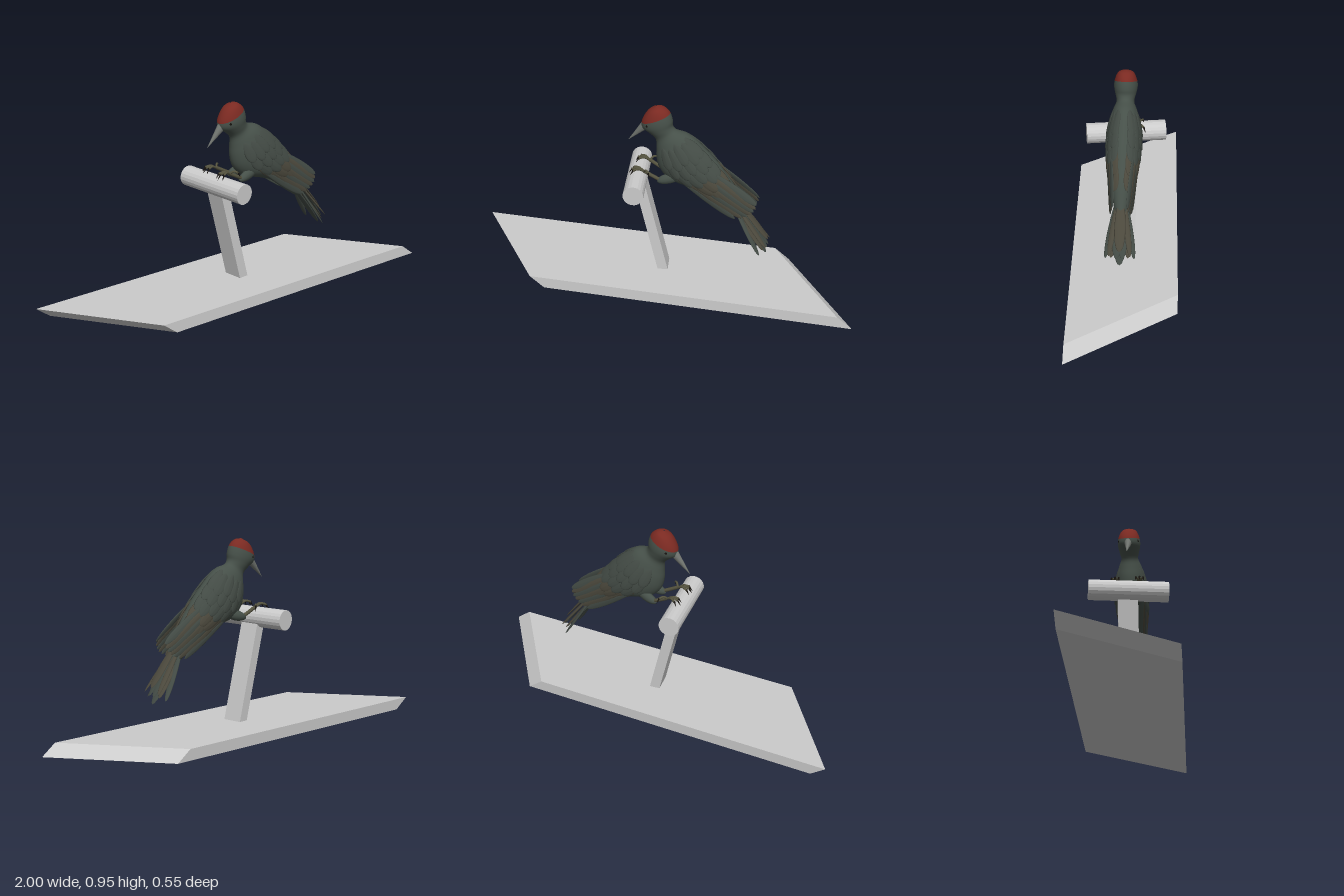
import * as THREE from 'three';

const V = (x, y, z = 0) => new THREE.Vector3(x, y, z);
const mat = (color, extra = {}) => new THREE.MeshStandardMaterial({ color, ...extra });
const GREY = mat(0xcccccc, { flatShading: true });
const DARK = mat(0x465049), WING = mat(0x434b45), BROWN = mat(0x4c493d);
const RED = mat(0x7b2a22), HORN = mat(0x70746f), LEG = mat(0x55533f), EYE = mat(0x16120e);

function add(parent, name, geometry, material) {
  const mesh = new THREE.Mesh(geometry, material);
  mesh.name = name;
  parent.add(mesh);
  return mesh;
}

// Four-cornered block; corners run anticlockwise seen from above
function prism(bottom, top) {
  const pos = [...bottom, ...top].flat(), index = [4, 5, 6, 4, 6, 7, 0, 2, 1, 0, 3, 2];
  for (let i = 0; i < 4; i++) {
    const j = (i + 1) % 4;
    index.push(i, j, j + 4, i, j + 4, i + 4);
  }
  const g = new THREE.BufferGeometry();
  g.setAttribute('position', new THREE.Float32BufferAttribute(pos, 3));
  g.setIndex(index);
  const flat = g.toNonIndexed();
  flat.computeVertexNormals();
  return flat;
}

// Body cross-sections from crown to rump: back x, y, breast x, y, half width
const SECTIONS = [
  [-0.025, 0.955, -0.03, 0.953, 0.003],
  [0.008, 0.951, -0.068, 0.927, 0.036],
  [0.037, 0.928, -0.098, 0.868, 0.053],
  [0.052, 0.885, -0.095, 0.838, 0.056],
  [0.053, 0.857, -0.06, 0.812, 0.049],
  [0.068, 0.838, -0.03, 0.782, 0.042],
  [0.12, 0.825, -0.026, 0.738, 0.056],
  [0.165, 0.795, -0.026, 0.69, 0.069],
  [0.22, 0.742, -0.012, 0.63, 0.078],
  [0.27, 0.69, 0.035, 0.578, 0.08],
  [0.315, 0.632, 0.13, 0.548, 0.073],
  [0.36, 0.568, 0.215, 0.515, 0.06],
  [0.4, 0.49, 0.3, 0.45, 0.042],
  [0.43, 0.42, 0.385, 0.395, 0.02],
  [0.42, 0.4, 0.41, 0.395, 0.002],
];
const LAST = SECTIONS.length - 1;
const backCurve = new THREE.CatmullRomCurve3(SECTIONS.map((s) => V(s[0], s[1], s[4])));
const frontCurve = new THREE.CatmullRomCurve3(SECTIONS.map((s) => V(s[2], s[3], s[4])));

// Point and outward normal on the body at section t, angle a (0 = back, PI = breast)
function onBody(t, a) {
  const b = backCurve.getPoint(t / LAST), f = frontCurve.getPoint(t / LAST);
  const w = Math.max(b.z, 0.001);
  b.z = f.z = 0;
  const mid = b.clone().add(f).multiplyScalar(0.5), half = b.sub(f).multiplyScalar(0.5);
  const point = mid.addScaledVector(half, Math.cos(a));
  point.z = w * Math.sin(a);
  const normal = half.clone().multiplyScalar(Math.cos(a) / half.lengthSq());
  normal.z = Math.sin(a) / w;
  return { point, normal: normal.normalize() };
}

function bodyLoft(t0, t1, rings, sides = 28) {
  const pos = [], index = [];
  for (let i = 0; i <= rings; i++) {
    for (let j = 0; j < sides; j++) {
      const t = t0 + ((t1 - t0) * i) / rings;
      pos.push(...onBody(t, (j / sides) * Math.PI * 2).point.toArray());
      if (i === rings) continue;
      const k = (j + 1) % sides, p = i * sides, q = p + sides;
      index.push(p + j, p + k, q + j, p + k, q + k, q + j);
    }
  }
  const g = new THREE.BufferGeometry();
  g.setAttribute('position', new THREE.Float32BufferAttribute(pos, 3));
  g.setIndex(index);
  g.computeVertexNormals();
  return g;
}

// Thin leaf lying along x, wider towards its free end
const leaf = new THREE.SphereGeometry(1, 12, 10).rotateZ(-Math.PI / 2);
for (let i = 0, p = leaf.attributes.position; i < p.count; i++) {
  p.setZ(i, p.getZ(i) * (0.95 + 0.25 * p.getX(i)));
}
leaf.computeVertexNormals();

function feather(parent, name, a, b, normal, halfWidth, thick, material) {
  const dir = b.clone().sub(a), len = dir.length();
  dir.normalize();
  const n = normal.clone().addScaledVector(dir, -normal.dot(dir)).normalize();
  const m = new THREE.Matrix4().makeBasis(dir, n, dir.clone().cross(n));
  m.scale(V(len / 2, thick, halfWidth)).setPosition(a.clone().add(b).multiplyScalar(0.5));
  return add(parent, name, leaf.clone().applyMatrix4(m), material);
}

function tube(parent, name, points, radius, material) {
  const curve = new THREE.CatmullRomCurve3(points);
  return add(parent, name, new THREE.TubeGeometry(curve, 10, radius, 7), material);
}

function cone(parent, name, from, to, radius, material) {
  const dir = to.clone().sub(from);
  const mesh = add(parent, name, new THREE.ConeGeometry(radius, dir.length(), 14), material);
  mesh.position.copy(from).addScaledVector(dir, 0.5);
  mesh.quaternion.setFromUnitVectors(V(0, 1, 0), dir.normalize());
  return mesh;
}

function makeStand() {
  const stand = new THREE.Group();
  stand.name = 'stand';
  const plan = [[-1, -0.23], [-0.61, 0.277], [0.925, 0.227], [0.53, -0.277]];
  add(stand, 'basePlate', prism(
    plan.map(([x, z]) => [x + 0.073, 0, z]), plan.map(([x, z]) => [x, 0.056, z])), GREY);
  // Leaning post
  const foot = [[-0.024, -0.045], [-0.008, 0.052], [0.043, 0.046], [0.027, -0.051]];
  add(stand, 'post', prism(
    foot.map(([x, z]) => [x, 0.05, z]), foot.map(([x, z]) => [x - 0.12, 0.55, z])), GREY);
  const perch = add(stand, 'perch', new THREE.CylinderGeometry(0.05, 0.05, 0.39, 20), GREY);
  perch.position.set(-0.121, 0.56, 0.005);
  perch.quaternion.setFromUnitVectors(V(0, 1, 0), V(0.058, 0, 0.38).normalize());
  return stand;
}

function makeWing(s) {
  const wing = new THREE.Group();
  wing.name = s > 0 ? 'leftWing' : 'rightWing';
  const side = (v) => V(v.x, v.y, v.z * s);
  // Long flight feathers fanning out past the rump
  for (let i = 0; i < 7; i++) {
    const k = i / 6, root = onBody(9.2 - 0.6 * k, 0.75 + 1.25 * k);
    const tip = V(0.478 - 0.1 * k * k, 0.5 - 0.13 * k + 0.05 * k * k, 0.035 + 0.02 * k);
    feather(wing, 'flightFeather', side(root.point), side(tip),
      side(root.normal.clone().add(V(0.1, 0.1, 0.6))), 0.021, 0.005, i % 2 ? BROWN : WING);
  }
  // Overlapping rows of covering feathers, laid from the tip up to the shoulder
  for (let row = 4; row >= 0; row--) {
    for (let col = 0; col < 5; col++) {
      const t = 6.1 + row * 0.85 + (col % 2) * 0.25, a = 0.5 + col * 0.38;
      const from = onBody(t, a), to = onBody(t + 2, a * 0.96 + 0.05);
      from.point.addScaledVector(from.normal, -0.002);
      to.point.addScaledVector(to.normal, 0.007);
      feather(wing, 'coveringFeather', side(from.point), side(to.point),
        side(from.normal.clone().add(to.normal)), 0.028, 0.007, row > 2 ? BROWN : WING);
    }
  }
  return wing;
}

function makeTail() {
  const tail = new THREE.Group();
  tail.name = 'tail';
  // Tip x, y, z and half width of each feather, long ones underneath
  const tips = [[0.53, 0.216, 0, 0.03], [0.52, 0.25, 0.04, 0.02], [0.505, 0.236, 0.068, 0.016],
    [0.535, 0.27, 0.05, 0.015], [0.536, 0.255, 0.015, 0.024], [0.535, 0.295, 0, 0.027]];
  tips.forEach(([x, y, z, w], i) => {
    for (const s of z ? [1, -1] : [1]) {
      feather(tail, 'tailFeather', V(0.345 + i * 0.005, 0.475 + i * 0.006, z * s * 0.25),
        V(x, y, z * s), V(0.82, 0.57, s * z * 6), w, 0.006, i % 2 ? BROWN : WING);
    }
  });
  return tail;
}

function makeLeg(s) {
  const leg = new THREE.Group();
  leg.name = s > 0 ? 'leftLeg' : 'rightLeg';
  const p = (x, y, z) => V(x, y, z * s);
  feather(leg, 'thigh', p(0.11, 0.61, 0.035), p(-0.012, 0.572, 0.05), V(0, 1, 0), 0.022, 0.026, DARK);
  tube(leg, 'shank', [p(0.015, 0.575, 0.048), p(-0.025, 0.595, 0.052), p(-0.075, 0.622, 0.055)], 0.009, LEG);
  // Toes grip over the perch and end in claws
  for (const [x, z] of [[-0.135, 0.04], [-0.14, 0.06], [-0.13, 0.08], [-0.042, 0.09]]) {
    const dx = x + 0.075, dz = z - 0.055, at = (k, y) => p(-0.075 + dx * k, y, 0.055 + dz * k);
    tube(leg, 'toe', [at(0, 0.62), at(0.45, 0.634), at(0.9, 0.628)], 0.0055, LEG);
    cone(leg, 'claw', at(0.85, 0.631), at(1.15, 0.603), 0.005, EYE);
  }
  return leg;
}

export function createModel() {
  const model = new THREE.Group();
  model.name = 'birdOnPerch';
  model.add(makeStand());
  const bird = new THREE.Group();
  bird.name = 'bird';
  model.add(bird);
  add(bird, 'redCap', bodyLoft(0, 2.15, 10), RED);
  add(bird, 'body', bodyLoft(2.15, LAST, 44), DARK);
  const beak = cone(bird, 'beak', V(-0.068, 0.862), V(-0.168, 0.752), 0.026, HORN);
  beak.scale.z = 0.85;
  for (const s of [1, -1]) {
    const eye = add(bird, 'eye', new THREE.SphereGeometry(0.008, 10, 8), EYE);
    eye.position.set(-0.06, 0.865, s * 0.044);
    bird.add(makeWing(s), makeLeg(s));
  }
  bird.add(makeTail());
  return model;
}
